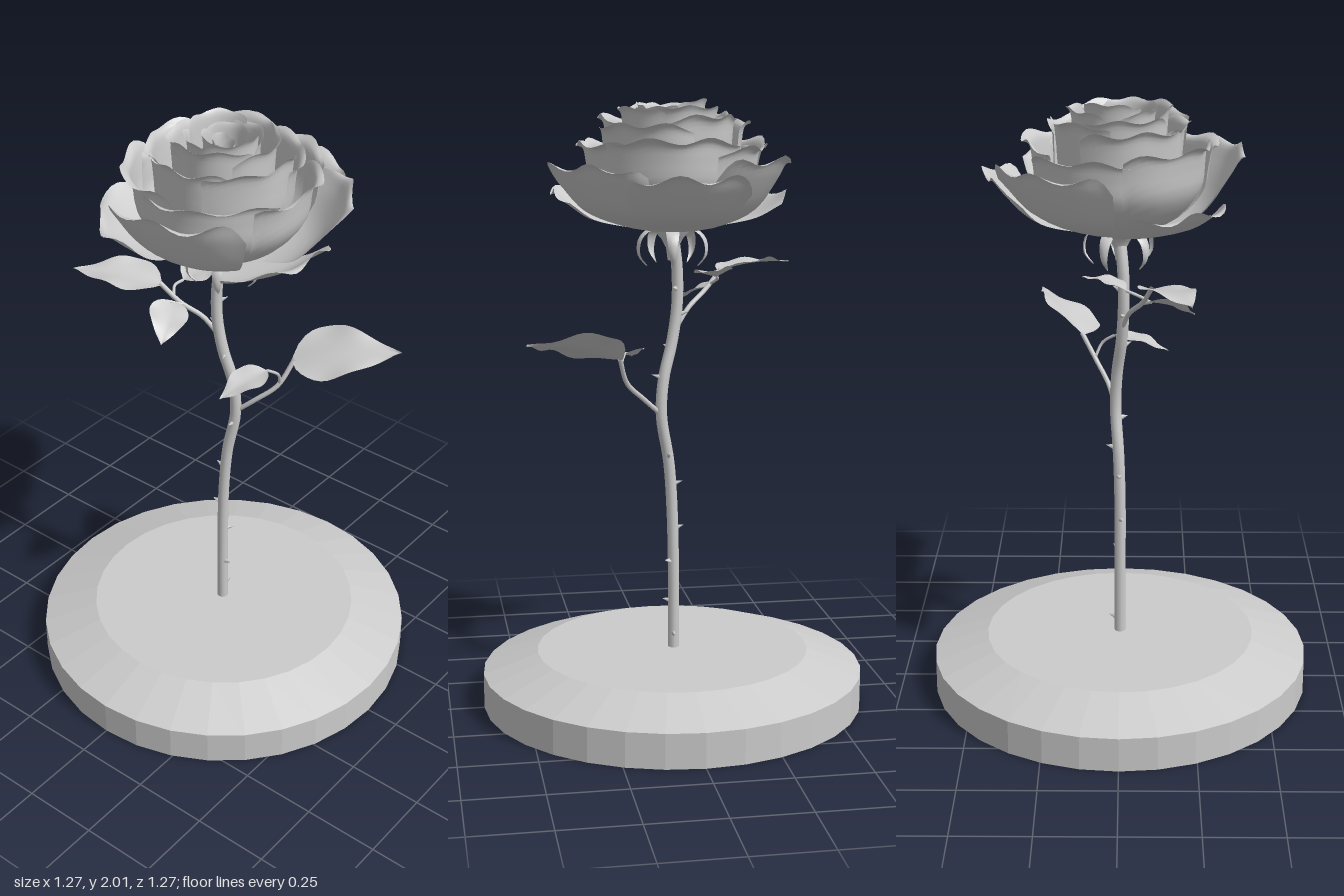
import * as THREE from 'three';

const smooth = new THREE.MeshStandardMaterial({ color: 0xcccccc, side: THREE.DoubleSide });
const faceted = new THREE.MeshStandardMaterial({ color: 0xcccccc, flatShading: true });
const V = (x, y, z) => new THREE.Vector3(x, y, z);
const lerp = THREE.MathUtils.lerp;
const rad = THREE.MathUtils.degToRad;

// Grid surface: fn(u in -1..1, v in 0..1) gives a point
function surface(fn, nu, nv) {
  const pos = [], idx = [];
  for (let j = 0; j <= nv; j++) {
    for (let i = 0; i <= nu; i++) {
      pos.push(...fn(-1 + (2 * i) / nu, j / nv).toArray());
      if (i < nu && j < nv) {
        const a = j * (nu + 1) + i, b = a + nu + 1;
        idx.push(a, a + 1, b, a + 1, b + 1, b);
      }
    }
  }
  const geo = new THREE.BufferGeometry();
  geo.setAttribute('position', new THREE.Float32BufferAttribute(pos, 3));
  geo.setIndex(idx);
  geo.computeVertexNormals();
  return geo;
}

function add(parent, name, geo, mat = smooth) {
  const mesh = new THREE.Mesh(geo, mat);
  mesh.name = name;
  parent.add(mesh);
  return mesh;
}

const tube = (pts, r, n = 16, sides = 8) =>
  new THREE.TubeGeometry(new THREE.CatmullRomCurve3(pts), n, r, sides);

// Petal: a (radius, height) profile swept through an angle, with a rounded, ruffled rim
function petal(azimuth, half, profile, seed, round = 0.35) {
  const curve = new THREE.SplineCurve(profile.map(([r, y]) => new THREE.Vector2(r, y)));
  const R = profile[profile.length - 1][0];
  return surface((u, v) => {
    const p = curve.getPoint(v * (1 - round * Math.abs(u) ** 3));
    const rim = v ** 4 * R;
    const r = p.x * (1 + 0.05 * u * v) + 0.025 * rim * Math.sin(u * 6 + seed * 2.3);
    const y = p.y + 0.035 * rim * Math.sin(u * 8 + seed * 1.7);
    const a = rad(azimuth + u * half);
    return V(r * Math.cos(a), y, r * Math.sin(a));
  }, 20, 16);
}

// Leaf: pointed blade from base to tip, folded along the midrib
function leaf(base, tip, normal, width) {
  const along = tip.clone().sub(base);
  const side = along.clone().cross(normal).normalize();
  const up = side.clone().cross(along).normalize();
  return surface((u, v) => {
    const w = 0.5 * width * Math.sin(Math.PI * Math.min(v, 1) ** 0.72) * (1.08 - 0.3 * v);
    const lift = 0.18 * Math.abs(u) * w + 0.07 * width * Math.sin(Math.PI * v)
      + 0.03 * width * Math.sin(v * 14) * u * u;
    return base.clone().addScaledVector(along, v)
      .addScaledVector(side, u * w).addScaledVector(up, lift);
  }, 8, 16);
}

function createFlower() {
  const flower = new THREE.Group();
  flower.name = 'flower';

  // Outer petals: azimuth, half angle, reach, tip height
  const outer = [
    [-90, 32, 0.43, 1.77], [221, 38, 0.40, 1.82], [-32, 36, 0.40, 1.8],
    [20, 33, 0.40, 1.71], [78, 38, 0.39, 1.85], [146, 38, 0.39, 1.7],
  ];
  outer.forEach(([az, half, R, top], i) => {
    const profile = [
      [0.02, 1.58], [0.15, 1.6], [R * 0.68, lerp(1.6, top, 0.25)],
      [R * 0.87, lerp(1.6, top, 0.7)], [R * 0.95, lerp(1.6, top, 0.95)], [R, top],
    ];
    add(flower, 'outerPetal', petal(az, half, profile, i));
  });

  // Inner rings: count, reach, tip height, half angle, first azimuth
  const rings = [
    [5, 0.3, 1.87, 46, 60], [5, 0.225, 1.94, 48, 20], [4, 0.165, 1.975, 58, 75],
    [4, 0.115, 1.99, 60, 30], [3, 0.07, 1.975, 75, 10], [3, 0.035, 1.955, 80, 60],
  ];
  rings.forEach(([count, R, top, half, start], k) => {
    for (let i = 0; i < count; i++) {
      const t = top + 0.014 * Math.sin(i * 2.4 + k);
      const r = R * (1 + 0.05 * Math.sin(i * 3.1 + k * 2));
      const profile = [
        [0.015, 1.59], [r * 0.55, 1.625], [r * 0.86, lerp(1.62, t, 0.4)],
        [r * 0.92, lerp(1.62, t, 0.75)], [r * 0.95, lerp(1.62, t, 0.94)], [r * 1.03, t],
      ];
      add(flower, 'innerPetal', petal(start + (i * 360) / count, half, profile, i + k * 3, 0.2));
    }
  });

  // Calyx cup and drooping sepals
  const cup = [[0.015, 1.49], [0.02, 1.53], [0.036, 1.56], [0.058, 1.585], [0.06, 1.6]];
  add(flower, 'calyx', new THREE.LatheGeometry(cup.map(([r, y]) => new THREE.Vector2(r, y)), 16));
  const droop = new THREE.SplineCurve([[0.03, 1.575], [0.08, 1.59], [0.115, 1.56], [0.118, 1.51], [0.09, 1.475]]
    .map(([r, y]) => new THREE.Vector2(r, y)));
  for (let i = 0; i < 5; i++) {
    const sepal = add(flower, 'sepal', surface((u, v) => {
      const p = droop.getPoint(v);
      return V(p.x - 0.006 * u * u, p.y, u * 0.024 * (1 - v ** 2));
    }, 4, 12));
    sepal.rotation.y = rad(i * 72 + 10);
  }
  return flower;
}

export function createModel() {
  const model = new THREE.Group();
  model.name = 'rose';

  // Faceted round base with bevelled shoulder
  const basePts = [[0, 0], [0.637, 0], [0.637, 0.115], [0.455, 0.18], [0, 0.18]];
  add(model, 'base', new THREE.LatheGeometry(basePts.map(([x, y]) => new THREE.Vector2(x, y)), 32), faceted);

  // Gently bent stem
  const stemPts = [
    V(-0.005, 0.17, 0), V(-0.005, 0.4, 0), V(0, 0.65, 0), V(0.012, 0.82, -0.005), V(0.038, 0.98, -0.015),
    V(0.03, 1.1, -0.01), V(0, 1.22, 0.005), V(-0.018, 1.34, 0.012), V(-0.018, 1.46, 0.01), V(-0.005, 1.56, 0),
  ];
  const stem = new THREE.CatmullRomCurve3(stemPts);
  add(model, 'stem', new THREE.TubeGeometry(stem, 50, 0.019, 10));

  // Thorns: position along the stem, azimuth
  const thorns = [
    [0.04, -80], [0.12, 10], [0.22, -35], [0.3, 170], [0.41, 185], [0.48, -90],
    [0.55, 80], [0.67, 0], [0.74, 60], [0.82, 190], [0.88, -60],
  ];
  for (const [t, az] of thorns) {
    const out = V(Math.cos(rad(az)), 0.25, Math.sin(rad(az))).normalize();
    const thorn = add(model, 'thorn', new THREE.ConeGeometry(0.009, 0.03, 6));
    thorn.scale.z = 1.3;
    thorn.position.copy(stem.getPointAt(t)).addScaledVector(out, 0.027);
    thorn.quaternion.setFromUnitVectors(V(0, 1, 0), out);
  }

  // Leaf stalks: paths with radius
  const stalks = [
    [[V(0.035, 0.98, -0.015), V(0.1, 1.04, -0.04), V(0.16, 1.1, -0.08), V(0.19, 1.19, -0.13)], 0.008],
    [[V(0.165, 1.11, -0.085), V(0.175, 1.16, -0.06), V(0.16, 1.19, -0.02)], 0.005],
    [[V(-0.01, 1.26, 0.005), V(-0.06, 1.33, 0.03), V(-0.12, 1.38, 0.07), V(-0.18, 1.445, 0.1)], 0.008],
    [[V(-0.11, 1.375, 0.065), V(-0.13, 1.385, 0.09), V(-0.14, 1.39, 0.1)], 0.005],
    [[V(-0.14, 1.4, 0.08), V(-0.16, 1.42, 0.05), V(-0.15, 1.43, 0.02)], 0.005],
  ];
  for (const [pts, r] of stalks) add(model, 'leafStalk', tube(pts, r));

  // Leaves: base, tip, facing, width
  const leaves = [
    [V(0.18, 1.185, -0.125), V(0.5, 1.26, -0.28), V(0, 1, 0.53), 0.22],
    [V(0.16, 1.19, -0.02), V(0.11, 1.15, 0.16), V(0, 1, 0.28), 0.12],
    [V(-0.17, 1.44, 0.1), V(-0.44, 1.455, 0.22), V(0.05, 1, 0.08), 0.18],
    [V(-0.14, 1.39, 0.09), V(-0.06, 1.325, 0.24), V(0.5, 1, 0.3), 0.13],
    [V(-0.15, 1.43, 0.02), V(-0.1, 1.46, -0.12), V(0, 1, 0.4), 0.13],
  ];
  for (const [a, b, n, w] of leaves) add(model, 'leaf', leaf(a, b, n, w));

  model.add(createFlower());
  return model;
}
